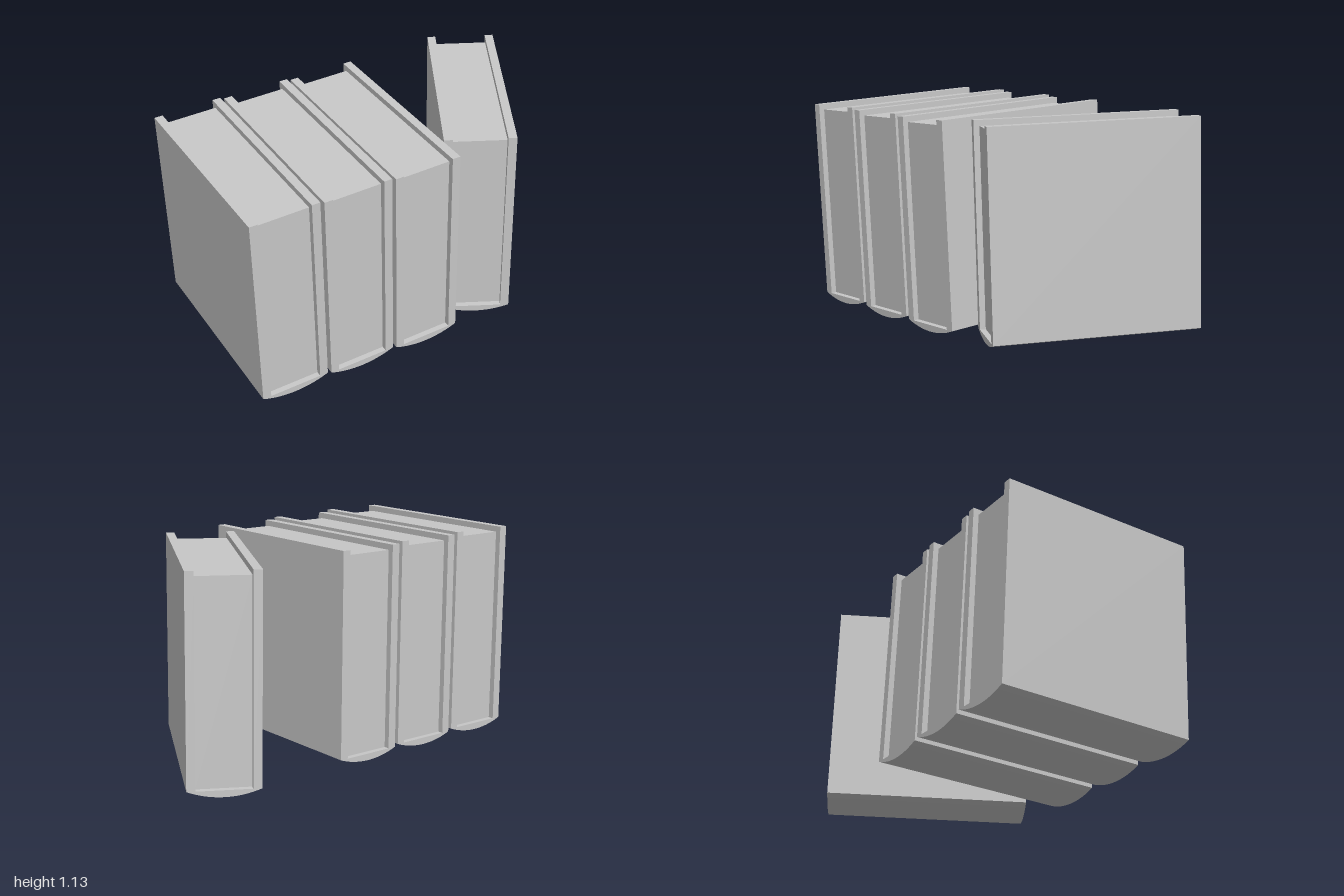
import * as THREE from 'three';
import { toCreasedNormals } from 'three/addons/utils/BufferGeometryUtils.js';

const WIDTH = 0.363, SIZE = 1.062, COVER = 0.044, RECESS = 0.03, SAG = 0.035;

const grey = new THREE.MeshStandardMaterial({ color: 0xc8c8c8 });
grey.name = 'plain grey';

function part(name, geometry, x, y, z) {
  const mesh = new THREE.Mesh(geometry, grey);
  mesh.name = name;
  mesh.position.set(x, y, z);
  return mesh;
}

// Rounded spine: a shallow circular segment run along the book's depth
function spineGeometry() {
  const half = WIDTH / 2;
  const radius = (half * half + SAG * SAG) / (2 * SAG);
  const angle = Math.asin(half / radius);
  const shape = new THREE.Shape();
  shape.absarc(0, radius - SAG, radius, -Math.PI / 2 - angle, -Math.PI / 2 + angle, false);
  shape.closePath();
  const geometry = new THREE.ExtrudeGeometry(shape, { depth: SIZE, bevelEnabled: false, curveSegments: 24 });
  geometry.translate(0, 0, -SIZE / 2);
  return toCreasedNormals(geometry, 0.3);
}

const coverGeometry = new THREE.BoxGeometry(COVER, SIZE, SIZE);
const pagesGeometry = new THREE.BoxGeometry(WIDTH - 2 * COVER, SIZE - RECESS, SIZE - 2 * RECESS);
const spine = spineGeometry();

// A book resting on its spine, with its origin at the middle of its top
function makeBook(name) {
  const book = new THREE.Group();
  book.name = name;
  for (const [side, label] of [[1, 'leftCover'], [-1, 'rightCover']]) {
    book.add(part(label, coverGeometry, side * (WIDTH - COVER) / 2, -SIZE / 2, 0));
  }
  book.add(part('pages', pagesGeometry, 0, -(SIZE + RECESS) / 2, 0));
  book.add(part('spine', spine, 0, -SIZE, 0));
  return book;
}

export function createModel() {
  const model = new THREE.Group();
  model.name = 'bookRow';

  // Three books in a row, leaning slightly
  for (let i = 0; i < 3; i++) {
    const book = makeBook('rowBook' + (i + 1));
    book.position.set(-0.819 + i * 0.384, 1.111, 0.03);
    book.rotation.set(0.028, 0, 0.029, 'YXZ');
    model.add(book);
  }

  // Last book, turned away from the row
  const turned = makeBook('turnedBook');
  turned.position.set(0.559, 1.111, 0.006);
  turned.rotation.set(0.0244, THREE.MathUtils.degToRad(-28.2), 0.015, 'YXZ');
  model.add(turned);
  return model;
}
